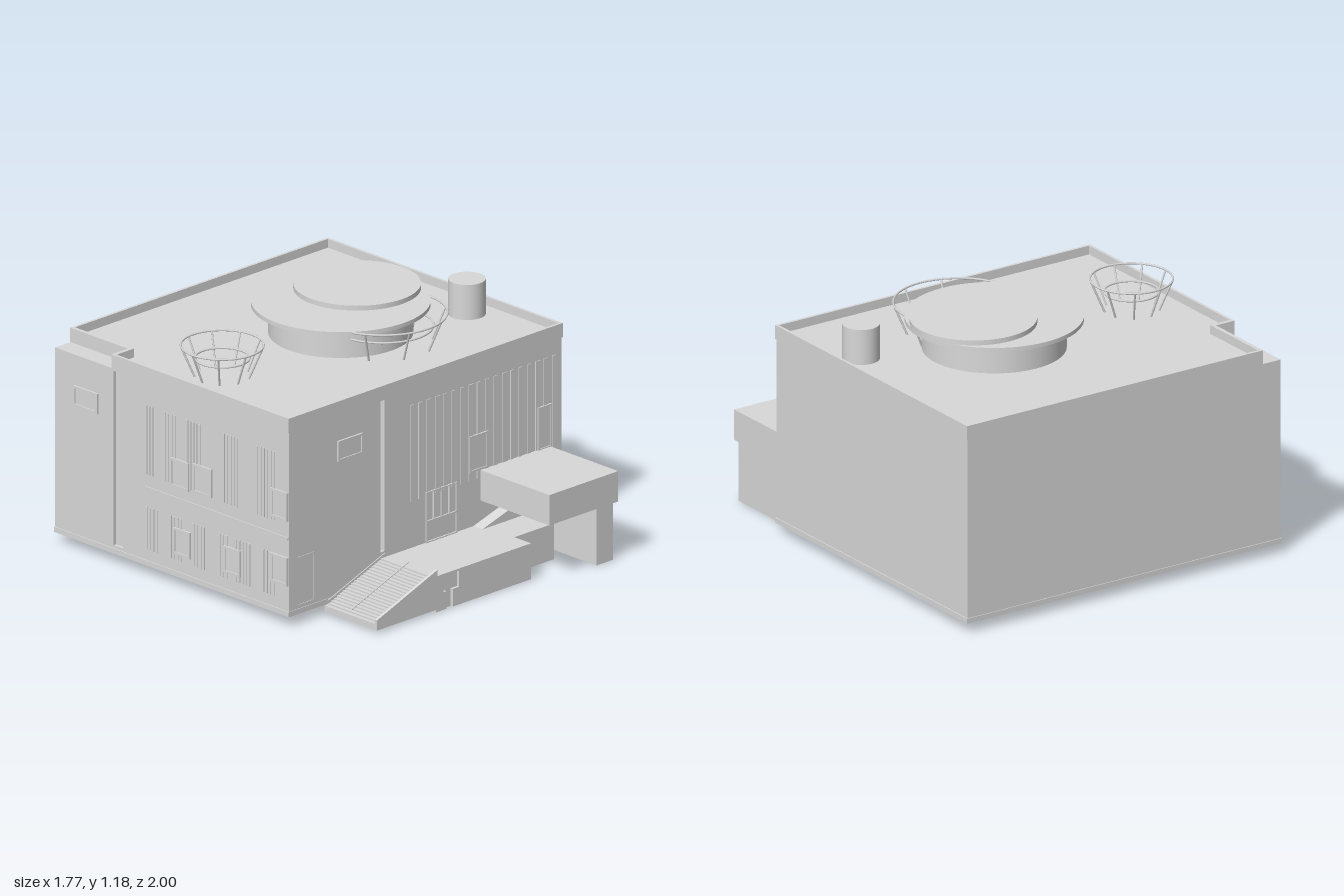
import * as THREE from 'three';

const wallMat = new THREE.MeshStandardMaterial({ color: 0xd8d8d8 });
wallMat.name = 'pale grey';

export function createModel() {
  const root = new THREE.Group();
  root.name = 'building';

  function add(name, geo, parent = root) {
    const m = new THREE.Mesh(geo, wallMat);
    m.name = name;
    parent.add(m);
    return m;
  }
  // box from its two extreme corners
  function box(name, x0, x1, y0, y1, z0, z1, parent) {
    const m = add(name, new THREE.BoxGeometry(x1 - x0, y1 - y0, z1 - z0), parent);
    m.position.set((x0 + x1) / 2, (y0 + y1) / 2, (z0 + z1) / 2);
    return m;
  }
  const poly = (pts) => new THREE.Shape(pts.map(([x, y]) => new THREE.Vector2(x, y)));
  const rect = (a, b, c, d) => poly([[a, c], [b, c], [b, d], [a, d]]);
  function slab(shape, holes, depth) {
    shape.holes.push(...holes);
    return new THREE.ExtrudeGeometry(shape, { depth, bevelEnabled: false });
  }
  // rectangular window surround
  function frame(name, parent, [a, b, c, d], z, t, depth) {
    const g = slab(rect(a, b, c, d), [rect(a + t, b - t, c + t, d - t)], depth);
    add(name, g, parent).position.z = z;
  }
  function cyl(name, x, z, r, y0, y1) {
    const m = add(name, new THREE.CylinderGeometry(r, r, y1 - y0, 64));
    m.position.set(x, (y0 + y1) / 2, z);
  }

  // main volume and plinth
  box('core', -0.865, 0.88, 0.075, 0.96, -0.996, 0.51);
  box('plinth', -0.885, 0.885, 0.05, 0.075, -1, 0.548);

  // front wall with one tall groove and a row of thin upright fins
  const front = new THREE.Group();
  front.name = 'frontFacade';
  root.add(front);
  const groove = rect(-0.29, -0.262, 0.21, 0.957);
  add('frontWall', slab(rect(-0.88, 0.88, 0.075, 0.96), [groove], 0.035), front).position.z = 0.51;
  for (let i = 0; i < 18; i++) {
    const x = -0.1 + i * 0.054;
    const w = i % 4 === 3 ? 0.034 : 0.022;
    box('facadeFin', x, x + w, 0.41, 0.885, 0.54, 0.549, front);
  }

  // framed windows and entrance on the front
  [[-0.57, -0.41, 0.735, 0.835], [0.28, 0.4, 0.45, 0.63], [0.72, 0.81, 0.44, 0.655]].forEach((w) => {
    frame('frontWindowFrame', front, w, 0.535, 0.01, 0.02);
    box('frontWindowPane', ...w, 0.535, 0.55, front);
  });
  frame('sideDoorFrame', front, [-0.83, -0.72, 0.09, 0.33], 0.535, 0.006, 0.013);
  frame('entranceFrame', front, [0, 0.2, 0.18, 0.43], 0.535, 0.006, 0.018);
  box('entranceTransom', 0, 0.2, 0.28, 0.288, 0.54, 0.553, front);
  for (let i = 1; i < 4; i++) {
    box('entranceMullion', i * 0.05 - 0.003, i * 0.05 + 0.003, 0.288, 0.43, 0.54, 0.553, front);
  }

  // side wall facing -x: local x runs along z, local z points outwards
  const side = new THREE.Group();
  side.name = 'sideFacade';
  side.rotation.y = -Math.PI / 2;
  root.add(side);
  const sideGroove = rect(-0.61, -0.55, 0.09, 0.95);
  add('sideWall', slab(rect(-0.996, 0.51, 0.075, 0.96), [sideGroove], 0.015), side).position.z = 0.865;

  // louvred windows in two storeys, each a bank of fine upright slats
  const upper = [[-0.4, -0.34], [-0.28, -0.19], [-0.13, -0.03], [0.11, 0.22], [0.33, 0.46]];
  const lower = [[-0.4, -0.31], [-0.24, -0.15], [-0.09, 0], [0.08, 0.15], [0.19, 0.3], [0.37, 0.46]];
  function louvres([a, b], y0, y1) {
    const n = Math.round((b - a) / 0.022);
    const pitch = (b - a) / n;
    for (let i = 0; i < n; i++) {
      const x = a + i * pitch;
      box('louvreSlat', x, x + pitch * 0.55, y0, y1, 0.875, 0.884, side);
    }
  }
  upper.forEach((w) => louvres(w, 0.5, 0.84));
  lower.forEach((w) => louvres(w, 0.13, 0.34));
  box('sideLedge', -0.4, 0.54, 0.425, 0.44, 0.875, 0.885, side);
  [
    [-0.87, -0.71, 0.71, 0.81], [-0.23, -0.11, 0.49, 0.63], [-0.08, 0.04, 0.5, 0.64], [0.43, 0.54, 0.52, 0.66],
    [-0.21, -0.1, 0.16, 0.29], [0.12, 0.23, 0.16, 0.29], [0.43, 0.54, 0.2, 0.34],
  ].forEach((w) => {
    frame('sideWindowFrame', side, w, 0.87, 0.012, 0.02);
    box('sideWindowPane', ...w, 0.868, 0.885, side);
  });

  // roof deck and parapet with a lowered rear corner
  const outline = (t, n) => [
    [-0.885 + t, -0.548 + t], [0.885 - t, -0.548 + t], [0.885 - t, 1 - t],
    [-0.78 + n, 1 - t], [-0.78 + n, 0.62 - n], [-0.885 + t, 0.62 - n],
  ];
  const deck = slab(poly(outline(0, 0)), [], 0.027).rotateX(-Math.PI / 2);
  add('roofDeck', deck).position.y = 0.96;
  const rim = slab(poly(outline(0, 0)), [poly(outline(0.014, 0.02))], 0.043).rotateX(-Math.PI / 2);
  add('parapet', rim).position.y = 0.987;

  // roof pavilion, discs and vent
  cyl('roofDrum', 0.15, -0.165, 0.335, 0.985, 1.125);
  cyl('largeRoofDisc', 0.15, -0.165, 0.415, 1.125, 1.145);
  cyl('discSpacer', 0.295, -0.205, 0.04, 1.145, 1.156);
  cyl('smallRoofDisc', 0.295, -0.205, 0.295, 1.156, 1.18);
  cyl('roofVent', 0.735, 0.07, 0.087, 0.985, 1.16);

  // flared open cages made of two rings and slanting struts
  function cage(name, x, z, rTop, rLow, count, phase) {
    const g = new THREE.Group();
    g.name = name;
    g.position.set(x, 0, z);
    root.add(g);
    [[rTop, 1.14], [rLow, 1.077]].forEach(([r, y]) => {
      const ring = add('cageRing', new THREE.TorusGeometry(r, 0.005, 6, 48), g);
      ring.rotation.x = Math.PI / 2;
      ring.position.y = y;
    });
    for (let i = 0; i < count; i++) {
      const a = ((i + phase) / count) * Math.PI * 2;
      const p = (r, y) => new THREE.Vector3(Math.cos(a) * r, y, Math.sin(a) * r);
      const path = new THREE.LineCurve3(p(rLow, 0.985), p(rTop, 1.14));
      add('cageStrut', new THREE.TubeGeometry(path, 1, 0.005, 6), g);
    }
  }
  cage('smallCage', -0.637, -0.143, 0.192, 0.127, 9, 0.5);
  cage('largeCage', 0.187, 0.073, 0.3, 0.235, 9, 0.75);

  // entrance terrace, its front face carrying a T-shaped recess
  box('terrace', -0.27, 0.345, 0.003, 0.18, 0.545, 0.875);
  const terraceFace = poly([
    [-0.27, 0.003], [-0.2, 0.003], [-0.2, 0.09], [-0.22, 0.09], [-0.22, 0.17], [-0.12, 0.17],
    [-0.12, 0.09], [-0.16, 0.09], [-0.16, 0.003], [0.345, 0.003], [0.345, 0.18], [-0.27, 0.18],
  ]);
  add('terraceFace', slab(terraceFace, [], 0.015)).position.z = 0.875;
  box('terraceExtension', 0.345, 0.6, 0.003, 0.18, 0.545, 0.78);
  const rampShape = poly([[0.31, 0.003], [0.68, 0.003], [0.68, 0.29], [0.31, 0.18]]);
  add('rampWall', slab(rampShape, [], 0.06)).position.z = 0.545;

  // stairs with a sloping cheek wall and handrails
  const steps = 20;
  for (let i = 0; i < steps; i++) {
    const x = -0.65 + (i * 0.38) / steps;
    box('step', x, -0.27, 0.015, 0.045 + (i * 0.135) / (steps - 1), 0.545, 0.875);
  }
  const cheek = poly([[-0.65, 0.015], [-0.26, 0.015], [-0.26, 0.21], [-0.65, 0.065]]);
  add('stairCheek', slab(cheek, [], 0.015)).position.z = 0.875;
  [0.555, 0.712].forEach((z) => {
    const path = new THREE.LineCurve3(new THREE.Vector3(-0.64, 0.068, z), new THREE.Vector3(-0.27, 0.205, z));
    add('handrail', new THREE.TubeGeometry(path, 1, 0.003, 6));
  });

  // projecting porch box on its supporting wall
  box('porch', 0.355, 0.8, 0.295, 0.445, 0.545, 1);
  box('porchSupport', 0.69, 0.795, 0, 0.295, 0.545, 0.97);

  return root;
}
